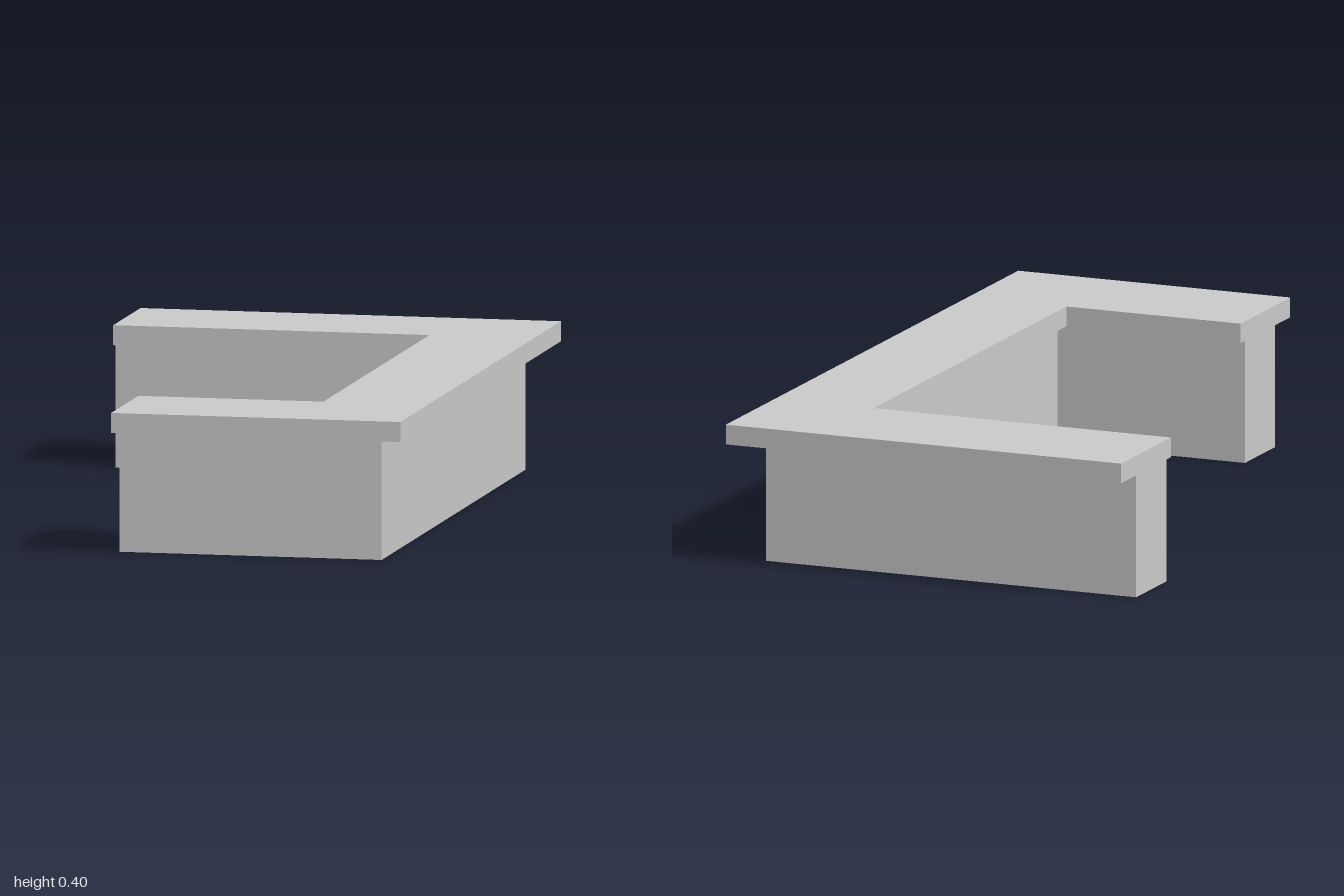
import * as THREE from 'three';

const BASE_HEIGHT = 0.34;
const TOP_HEIGHT = 0.395;

export function createModel() {
  const model = new THREE.Group();
  model.name = 'counter';
  const solid = new THREE.MeshStandardMaterial({ color: 0xcccccc, flatShading: true });
  const thin = new THREE.MeshStandardMaterial({ color: 0xcccccc, flatShading: true, side: THREE.DoubleSide });

  // Hollow cabinet: four thin walls, open below and closed above by the worktop
  function addCabinet(name, x0, x1, z0, z1) {
    const geometry = new THREE.BoxGeometry(x1 - x0, BASE_HEIGHT, z1 - z0);
    const index = Array.from(geometry.index.array);
    index.splice(12, 12); // remove the top and bottom faces
    geometry.setIndex(index);
    geometry.clearGroups();
    const cabinet = new THREE.Mesh(geometry, thin);
    cabinet.name = name;
    cabinet.position.set((x0 + x1) / 2, BASE_HEIGHT / 2, (z0 + z1) / 2);
    model.add(cabinet);
  }
  addCabinet('frontCabinet', -0.22, 0.51, 0.69, 0.897);
  addCabinet('sideCabinetFront', 0.335, 0.51, 0, 0.69);
  addCabinet('sideCabinetBack', 0.335, 0.51, -0.69, 0);
  addCabinet('backCabinet', -0.225, 0.51, -0.897, -0.69);
  addCabinet('backEndCabinet', -0.585, -0.225, -0.897, -0.69);

  // U-shaped worktop, drawn as (x, -z) and extruded upwards
  const outline = [
    [-0.22, -1], [0.585, -1], [0.585, 1], [-0.585, 1],
    [-0.585, 0.66], [0.295, 0.66], [0.295, -0.66], [-0.22, -0.66],
  ].map(([x, y]) => new THREE.Vector2(x, y));
  const slab = new THREE.ExtrudeGeometry(new THREE.Shape(outline), {
    depth: TOP_HEIGHT - BASE_HEIGHT,
    bevelEnabled: false,
  });
  slab.rotateX(-Math.PI / 2);
  const worktop = new THREE.Mesh(slab, solid);
  worktop.name = 'worktop';
  worktop.position.y = BASE_HEIGHT;
  model.add(worktop);

  return model;
}
